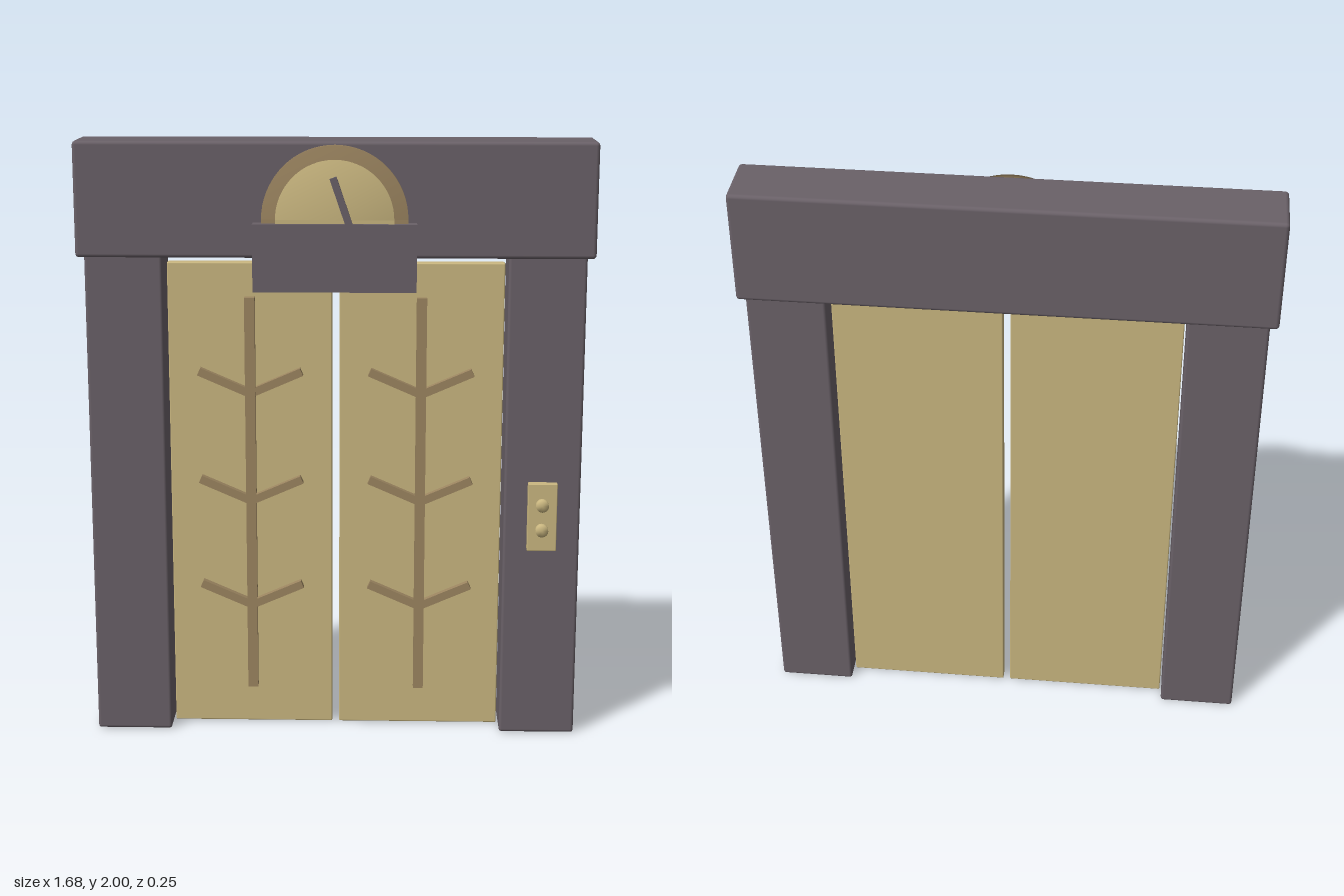
import * as THREE from 'three';
import { RoundedBoxGeometry } from 'three/addons/geometries/RoundedBoxGeometry.js';

const material = (name, color) => {
  const m = new THREE.MeshStandardMaterial({ color });
  m.name = name;
  return m;
};

export function createModel() {
  const stone = material('dark stone', 0x6a6168);
  const gold = material('pale gold', 0xcab780);
  const bronze = material('bronze', 0x9d8661);
  const model = new THREE.Group();
  model.name = 'elevatorDoors';

  const add = (name, geometry, mat, parent = model) => {
    const mesh = new THREE.Mesh(geometry, mat);
    mesh.name = name;
    parent.add(mesh);
    return mesh;
  };
  // Box given by its minimum and maximum corners; radius rounds the edges
  const block = (name, a, b, mat, radius = 0, parent = model) => {
    const size = a.map((v, i) => b[i] - v);
    const geometry = radius
      ? new RoundedBoxGeometry(...size, 2, radius)
      : new THREE.BoxGeometry(...size);
    const mesh = add(name, geometry, mat, parent);
    mesh.position.set(...a.map((v, i) => (v + b[i]) / 2));
    return mesh;
  };
  // Softly shaded disc facing the front, whole or only its upper half
  const disc = (name, radius, depth, mat, x, y, z, half = false) => {
    const profile = [[radius, 0], [radius, depth], [0, depth]].map(p => new THREE.Vector2(...p));
    const geometry = new THREE.LatheGeometry(profile, half ? 32 : 24, Math.PI / 2, half ? Math.PI : Math.PI * 2);
    geometry.rotateX(Math.PI / 2);
    add(name, geometry, mat).position.set(x, y, z);
  };

  // Frame
  block('lintel', [-0.84, 1.627, -0.125], [0.84, 2, 0.077], stone, 0.012);
  for (const [side, s] of [['left', 1], ['right', -1]]) {
    const pillar = block(side + 'Pillar', [0.56, 0, -0.112], [0.813, 1.65, 0.066], stone, 0.01);
    pillar.position.x *= s;

    // Door panel with a branching ornament
    const door = new THREE.Group();
    door.name = side + 'Door';
    door.position.x = s * 0.283;
    model.add(door);
    block('panel', [-0.271, 0.002, -0.06], [0.271, 1.6, -0.015], gold, 0.004, door);
    block('stem', [-0.017, 0.135, -0.02], [0.017, 1.487, 0.01], bronze, 0, door);
    for (const y of [0.43, 0.797, 1.165]) {
      for (const t of [1, -1]) {
        const branch = add('branch', new THREE.BoxGeometry(0.186, 0.027, 0.028), bronze, door);
        branch.position.set(t * 0.085, y + 0.037, -0.006);
        branch.rotation.z = t * 0.41;
      }
    }
  }

  // Floor indicator
  disc('dialRim', 0.235, 0.033, bronze, 0, 1.755, 0.072, true);
  disc('dialFace', 0.19, 0.043, gold, 0, 1.755, 0.072, true);
  // Short skirts carry the half discs down behind the cover
  block('dialRimBase', [-0.235, 1.72, 0.07], [0.235, 1.755, 0.105], bronze);
  block('dialFaceBase', [-0.19, 1.72, 0.07], [0.19, 1.755, 0.115], gold);
  const needle = add('needle', new THREE.BoxGeometry(0.023, 0.19, 0.02), stone);
  needle.position.set(0.026, 1.8, 0.118);
  needle.rotation.z = 0.33;
  block('dialCover', [-0.263, 1.525, 0.06], [0.263, 1.743, 0.13], stone);

  // Call buttons
  block('buttonPlate', [0.638, 0.655, 0.06], [0.735, 0.885, 0.093], gold, 0.003);
  for (const y of [0.729, 0.814]) disc('callButton', 0.021, 0.025, gold, 0.685, y, 0.087);

  return model;
}
